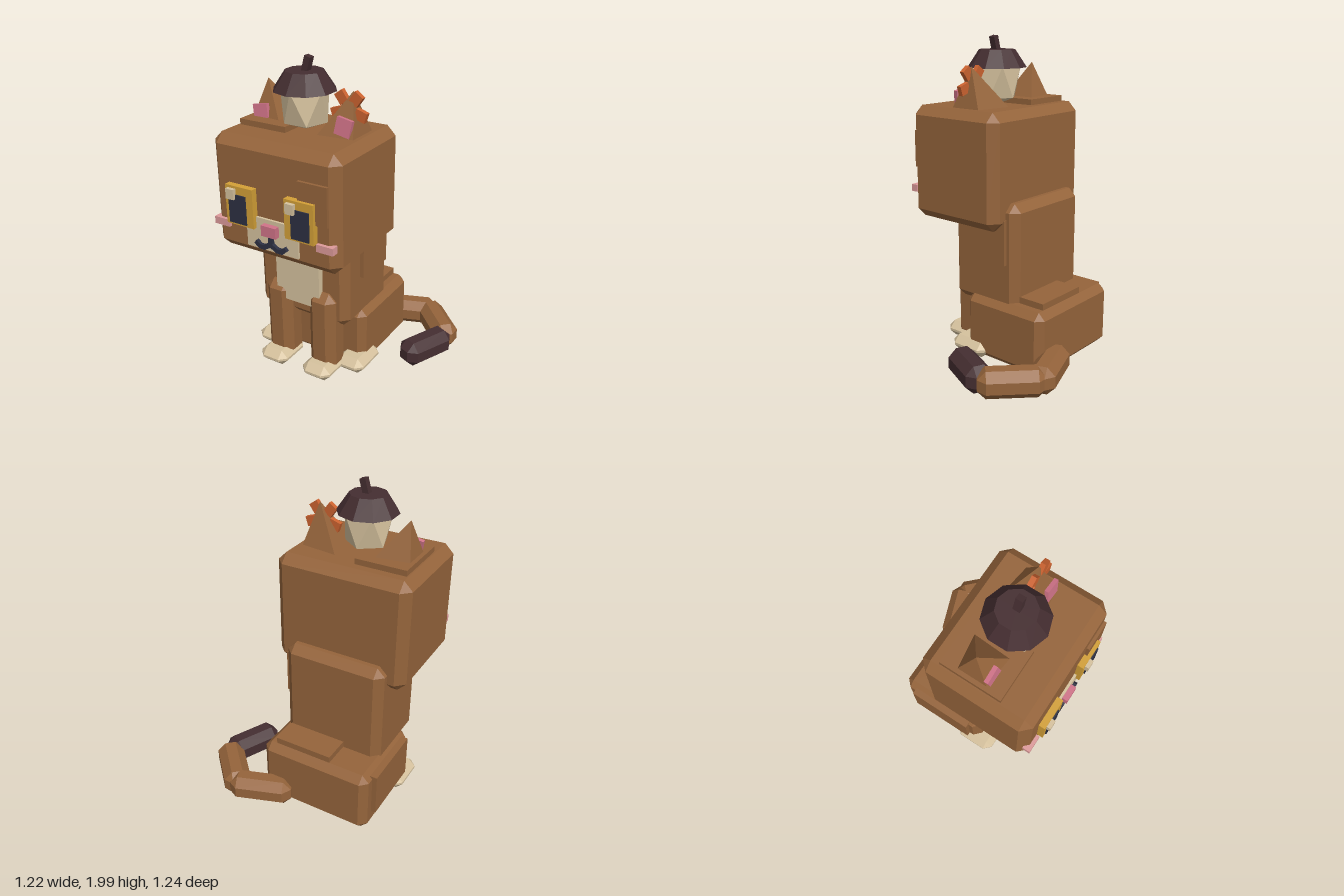
import * as THREE from 'three';
import { ConvexGeometry } from 'three/addons/geometries/ConvexGeometry.js';

const mat = (name, color) => {
  const m = new THREE.MeshStandardMaterial({ color, flatShading: true });
  m.name = name;
  return m;
};

const CX = -0.18; // the cat's own middle plane, the tail sticks out to its left
const flip = (x) => 2 * CX - x;
const V = (x, y, z) => new THREE.Vector3(x, y, z);

// Box with every edge chamfered by b
function chamferBox(w, h, d, b) {
  const pts = [];
  for (const sx of [-1, 1]) for (const sy of [-1, 1]) for (const sz of [-1, 1]) {
    const x = w / 2, y = h / 2, z = d / 2;
    pts.push(V(sx * x, sy * (y - b), sz * (z - b)));
    pts.push(V(sx * (x - b), sy * y, sz * (z - b)));
    pts.push(V(sx * (x - b), sy * (y - b), sz * z));
  }
  return new ConvexGeometry(pts);
}

export function createModel() {
  const fur = mat('brown fur', 0x95643b);
  const cream = mat('cream', 0xd6c29e);
  const dark = mat('dark brown', 0x452e31);
  const gold = mat('gold', 0xd3a037);
  const ink = mat('ink', 0x2d3042);
  const pink = mat('pink', 0xd07388);
  const blush = mat('blush', 0xdd9a9a);
  const orange = mat('orange', 0xcc6330);

  const cat = new THREE.Group();
  cat.name = 'sittingCat';
  const add = (name, geo, material, parent = cat) => {
    const m = new THREE.Mesh(geo, material);
    m.name = name;
    parent.add(m);
    return m;
  };
  // Box given by its extents; chamfered when b > 0
  const box = (name, material, [x0, x1], [y0, y1], [z0, z1], b = 0) => {
    const s = [x1 - x0, y1 - y0, z1 - z0];
    const m = add(name, b ? chamferBox(...s, b) : new THREE.BoxGeometry(...s), material);
    m.position.set((x0 + x1) / 2, (y0 + y1) / 2, (z0 + z1) / 2);
    return m;
  };
  // The same box on both sides of the middle plane
  const pair = (name, material, [x0, x1], y, z, b = 0) => [
    box(name + 'Right', material, [x0, x1], y, z, b),
    box(name + 'Left', material, [flip(x1), flip(x0)], y, z, b),
  ];

  // Body
  box('hindBody', fur, [-0.545, 0.185], [0.01, 0.42], [-0.445, 0.155], 0.045);
  box('torso', fur, [-0.51, 0.145], [0.36, 1.035], [-0.225, 0.29], 0.05);
  box('chestPatch', cream, [-0.34, -0.025], [0.48, 0.95], [0.27, 0.33]);
  box('rumpPatch', fur, [-0.275, 0.1], [0.4, 0.46], [-0.4, -0.18]);
  box('flankPatch', fur, [-0.575, -0.53], [0.12, 0.395], [-0.355, 0.08]);
  box('shoulderPatch', fur, [0.12, 0.17], [0.66, 0.94], [-0.155, 0.13]);

  // Legs and paws
  pair('frontLeg', fur, [-0.435, -0.245], [0.04, 0.585], [0.165, 0.35], 0.05);
  pair('frontPaw', cream, [-0.445, -0.24], [0.01, 0.115], [0.17, 0.435], 0.045);
  pair('hindPaw', cream, [-0.585, -0.385], [0.01, 0.115], [-0.02, 0.26], 0.045);

  // Tail: three chamfered lengths lying on the ground
  const tail = [
    ['tailBase', fur, 0.166, -0.5, 0.4, 0.35],
    ['tailBend', fur, 0.43, -0.435, 0.4, -0.79],
    ['tailTip', dark, 0.475, -0.155, 0.36, -1.99],
  ];
  for (const [name, material, x, z, len, turn] of tail) {
    const m = add(name, chamferBox(len, 0.17, 0.17, 0.05), material);
    m.position.set(x, 0.105, z);
    m.rotation.y = turn;
  }

  // Head
  box('head', fur, [-0.61, 0.25], [0.87, 1.58], [-0.147, 0.547], 0.056);
  box('crownPatch', fur, [-0.545, -0.225], [1.55, 1.615], [-0.04, 0.34]);
  box('browPatch', fur, [0.005, 0.195], [1.18, 1.415], [0.52, 0.565]);

  // Ears: leaning pyramids with pink plates
  for (const side of [-1, 1]) {
    const p = (x, y, z) => V(side < 0 ? x : flip(x), y, z);
    const label = side < 0 ? 'Right' : 'Left';
    add('ear' + label, new ConvexGeometry([
      p(-0.53, 1.57, 0.04), p(-0.285, 1.57, 0.005), p(-0.3, 1.57, 0.28),
      p(-0.53, 1.57, 0.255), p(-0.47, 1.825, 0.15),
    ]), fur);
    const inner = add('innerEar' + label, new THREE.BoxGeometry(0.1, 0.1, 0.025), pink);
    inner.position.copy(p(-0.462, 1.64, 0.24));
    inner.rotation.set(-0.12, 0, -side * 0.18);
  }

  // Face
  pair('eye', gold, [-0.48, -0.288], [1.065, 1.305], [0.53, 0.586]);
  pair('pupil', ink, [-0.455, -0.335], [1.078, 1.255], [0.57, 0.594]);
  for (const x of [-0.46, -0.05])
    box('eyeGlint', cream, [x, x + 0.055], [1.228, 1.29], [0.58, 0.61]);
  box('muzzle', cream, [-0.358, -0.002], [0.94, 1.135], [0.53, 0.562]);
  box('nose', pink, [-0.23, -0.13], [1.045, 1.11], [0.54, 0.597]);
  pair('cheek', blush, [-0.592, -0.483], [1.025, 1.07], [0.52, 0.568]);

  // Mouth: a stem and two curved halves made of short strokes
  const stroke = (x0, y0, x1, y1) => {
    const m = add('mouthStroke',
      new THREE.BoxGeometry(Math.hypot(x1 - x0, y1 - y0) + 0.015, 0.028, 0.03), ink);
    m.position.set((x0 + x1) / 2, (y0 + y1) / 2, 0.568);
    m.rotation.z = Math.atan2(y1 - y0, x1 - x0);
  };
  stroke(CX, 1.045, CX, 0.995);
  for (const s of [-1, 1]) {
    stroke(CX, 0.99, CX + s * 0.045, 0.965);
    stroke(CX + s * 0.045, 0.965, CX + s * 0.075, 0.965);
    stroke(CX + s * 0.075, 0.965, CX + s * 0.1, 0.985);
  }

  // Flower on the left ear
  const flower = new THREE.Group();
  flower.name = 'earFlower';
  flower.position.set(0.09, 1.72, 0.16);
  cat.add(flower);
  for (let i = 0; i < 5; i++) {
    const a = Math.PI * (0.3 + 0.4 * i);
    const petal = add('petal', new THREE.BoxGeometry(0.07, 0.06, 0.03), orange, flower);
    petal.position.set(0.08 * Math.cos(a), 0.08 * Math.sin(a), 0);
    petal.rotation.z = a;
  }
  add('flowerCentre', new THREE.BoxGeometry(0.06, 0.06, 0.034), orange, flower);

  // Acorn on the head
  const acorn = new THREE.Group();
  acorn.name = 'acorn';
  acorn.position.set(CX, 0, 0.198);
  cat.add(acorn);
  const nutPoints = [V(0, 1.575, 0), V(0, 1.86, 0)];
  for (let i = 0; i < 5; i++) {
    const a = i * Math.PI * 0.4, b = a + Math.PI * 0.2;
    nutPoints.push(V(0.148 * Math.sin(a), 1.815, 0.148 * Math.cos(a)));
    nutPoints.push(V(0.13 * Math.sin(b), 1.62, 0.13 * Math.cos(b)));
  }
  add('nut', new ConvexGeometry(nutPoints), cream, acorn);
  const cap = add('cap', new THREE.CylinderGeometry(0.113, 0.186, 0.11, 10), dark, acorn);
  cap.position.y = 1.86;
  const stem = add('stem', new THREE.BoxGeometry(0.038, 0.1, 0.042), dark, acorn);
  stem.position.set(0.02, 1.948, 0);
  stem.rotation.z = -0.28;

  return cat;
}
